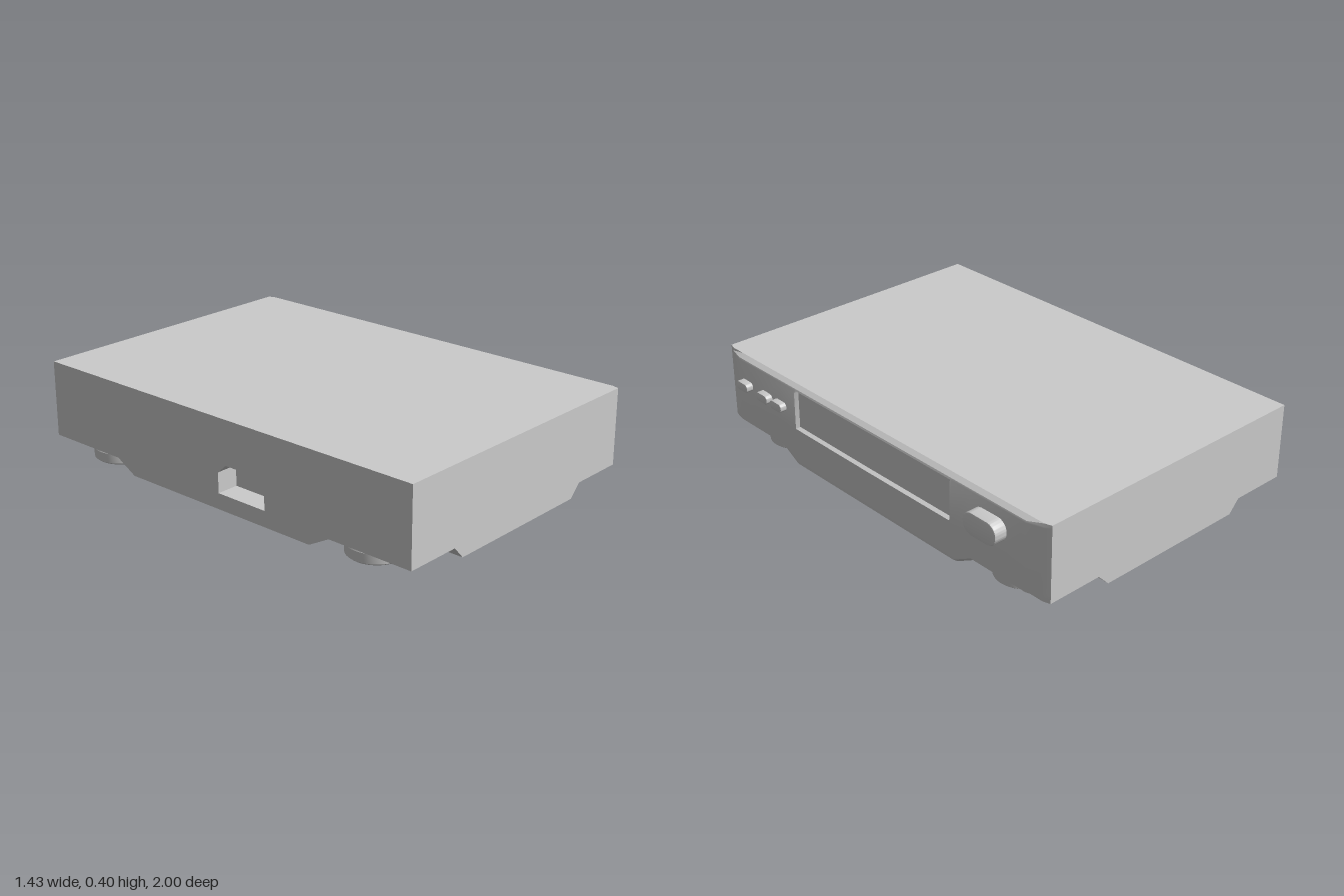
import * as THREE from 'three';
import { toCreasedNormals } from 'three/addons/utils/BufferGeometryUtils.js';

const FLOOR = 0.005, NOTCH = 0.06, TOP = 0.4;
const BACK = -0.714, POCKET = 0.1;

const material = new THREE.MeshStandardMaterial({ color: 0xcccccc });

function addMesh(parent, name, geometry) {
  const mesh = new THREE.Mesh(toCreasedNormals(geometry, 0.45), material);
  mesh.name = name;
  parent.add(mesh);
  return mesh;
}

// linear interpolation through [input, output] pairs
function profile(points, v) {
  for (let i = 1; i < points.length; i++) {
    const [a, fa] = points[i - 1], [b, fb] = points[i];
    if (v <= b) return THREE.MathUtils.lerp(fa, fb, Math.max(0, (v - a) / (b - a)));
  }
  return points[points.length - 1][1];
}

// underside height: sloped recess at each corner
function underside(x, z) {
  const alongX = profile([[-0.46, 1], [-0.41, 0], [0.31, 0], [0.365, 1]], x);
  const alongZ = profile([[0.5, 0], [0.6, 1]], Math.abs(z));
  return FLOOR + (NOTCH - FLOOR) * Math.min(alongX, alongZ);
}

// bowed control face with softened ends, top and bottom
function faceX(y, bottom, z) {
  const ends = profile([[0, 0.663], [0.5, 0.661], [0.9, 0.655], [0.97, 0.632], [1, 0.62]], Math.abs(z));
  const upper = profile([[0.2, 0.663], [0.37, 0.659], [0.387, 0.651], [TOP, 0.63]], y);
  const lower = profile([[0, 0.63], [0.018, 0.654], [0.1, 0.66], [0.2, 0.663]], y - bottom);
  return Math.min(ends, upper, lower);
}

// case: a subdivided box whose rows are moved to the section lines
function caseGeometry() {
  const xs = [BACK + POCKET, -0.46, -0.41, 0.31, 0.365, 0.58, 0.62];
  const half = [0.25, 0.484, 0.49, 0.5, 0.6, 0.8, 0.9, 0.97, 1];
  const zs = [...half.map((z) => -z).reverse(), 0, ...half];
  const ys = [0, 0, 0.1, 0.2, 0.206, 0.37, 0.38, 0.387, TOP];
  const [nx, ny, nz] = [xs, ys, zs].map((list) => list.length - 1);
  const geometry = new THREE.BoxGeometry(1, 1, 1, nx, ny, nz);
  const p = geometry.attributes.position;
  for (let i = 0; i < p.count; i++) {
    const ix = Math.round((p.getX(i) + 0.5) * nx);
    const iy = Math.round((p.getY(i) + 0.5) * ny);
    const z = zs[Math.round((p.getZ(i) + 0.5) * nz)];
    let x = xs[ix];
    const bottom = underside(x, z);
    const y = iy === 0 ? bottom : iy === 1 ? bottom + 0.018 : ys[iy];
    if (ix === nx) {
      x = faceX(y, bottom, z);
      // recessed display window
      if (Math.abs(z) < 0.487 && y > 0.203 && y < 0.375) x -= 0.018;
    }
    p.setXYZ(i, x, y, z);
  }
  return geometry;
}

// rear slab with the power socket opening
function rearGeometry() {
  const outline = new THREE.Shape([
    [-1, NOTCH], [-0.6, NOTCH], [-0.5, FLOOR], [0.5, FLOOR],
    [0.6, NOTCH], [1, NOTCH], [1, TOP], [-1, TOP],
  ].map(([z, y]) => new THREE.Vector2(z, y)));
  outline.holes.push(new THREE.Path([
    [0.01, 0.075], [0.01, 0.165], [0.055, 0.205], [0.22, 0.205], [0.265, 0.165], [0.265, 0.075],
  ].map(([z, y]) => new THREE.Vector2(z, y))));
  return new THREE.ExtrudeGeometry(outline, { depth: POCKET, bevelEnabled: false })
    .rotateY(-Math.PI / 2).translate(BACK + POCKET, 0, 0);
}

// rounded button standing out of the control face
function buttonGeometry(width, height, radius, front, bevel) {
  const w = width / 2 - bevel, h = height / 2 - bevel, r = radius - bevel;
  const s = new THREE.Shape();
  s.absarc(w - r, h - r, r, 0, Math.PI / 2);
  s.absarc(-w + r, h - r, r, Math.PI / 2, Math.PI);
  s.absarc(-w + r, -h + r, r, Math.PI, Math.PI * 1.5);
  s.absarc(w - r, -h + r, r, Math.PI * 1.5, Math.PI * 2);
  const depth = front - 0.635 - bevel;
  return new THREE.ExtrudeGeometry(s, {
    depth, curveSegments: 8, bevelThickness: bevel, bevelSize: bevel, bevelSegments: 2,
  }).rotateY(Math.PI / 2).translate(0.635, 0, 0);
}

export function createModel() {
  const model = new THREE.Group();
  model.name = 'mediaPlayer';

  addMesh(model, 'case', caseGeometry());
  addMesh(model, 'rearPanel', rearGeometry());

  // control buttons
  for (const z of [0.84, 0.695, 0.593]) {
    addMesh(model, 'smallButton', buttonGeometry(0.08, 0.04, 0.018, 0.689, 0.004)).position.set(0, 0.276, z);
  }
  addMesh(model, 'powerButton', buttonGeometry(0.18, 0.1, 0.048, 0.714, 0.006)).position.set(0, 0.29, -0.712);

  // round feet in the corner recesses
  const footProfile = [[0, 0], [0.112, 0], [0.122, 0.008], [0.124, 0.05], [0.118, 0.062], [0, 0.062]]
    .map(([r, y]) => new THREE.Vector2(r, y));
  for (const x of [-0.583, 0.49]) {
    for (const z of [-0.725, 0.725]) {
      addMesh(model, 'foot', new THREE.LatheGeometry(footProfile, 40)).position.set(x, 0, z);
    }
  }
  return model;
}
